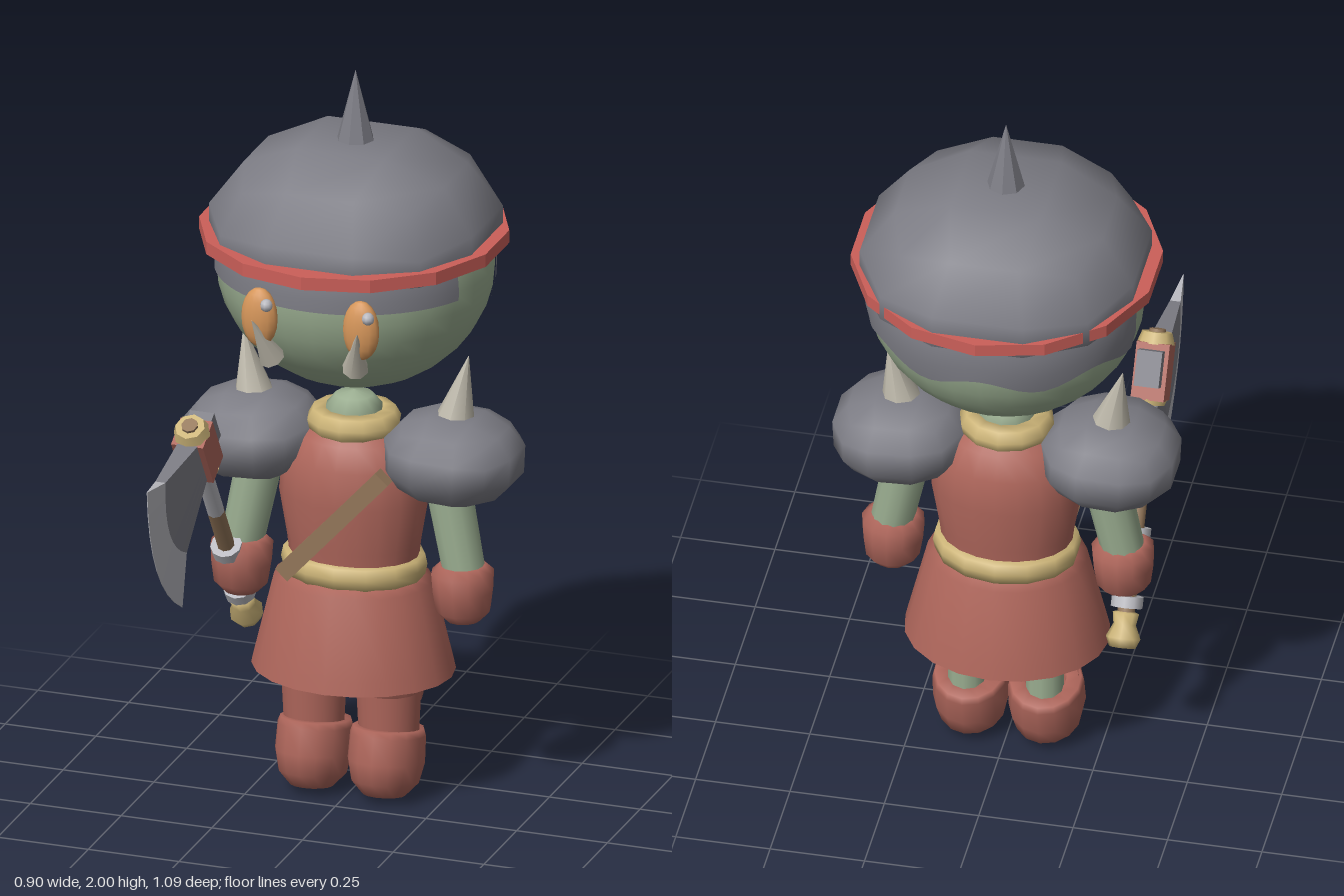
import * as THREE from 'three';

const V = (x, y, z) => new THREE.Vector3(x, y, z);
const P = (list) => list.map(([x, y]) => new THREE.Vector2(x, y));

function paint(name, color, extra = {}) {
  const m = new THREE.MeshStandardMaterial({ color, ...extra });
  m.name = name;
  return m;
}

const Z = -0.145; // depth of the body axis
const HEAD = { c: V(0, 1.475, -0.155), r: V(0.365, 0.335, 0.35) };

export function createModel() {
  const model = new THREE.Group();
  model.name = 'warrior';
  const iron = paint('iron', 0x7d7d85);
  const red = paint('red', 0xcb5f59);
  const leather = paint('leather', 0xae665b, { side: THREE.DoubleSide });
  const skin = paint('skin', 0x9aad90);
  const amber = paint('amber', 0xd6965a);
  const gold = paint('gold', 0xccb478);
  const bone = paint('bone', 0xbdb8aa);
  const tan = paint('tan', 0x937659);
  const silver = paint('silver', 0xb9b9bf);

  function add(name, geo, mat, pos = [0, 0, 0], parent = model) {
    const m = new THREE.Mesh(geo, mat);
    m.name = name;
    m.position.set(...pos);
    parent.add(m);
    return m;
  }
  const lathe = (pts, segs, sz = 1) => new THREE.LatheGeometry(P(pts), segs).scale(1, 1, sz);

  // Tapered rod from point a to point b
  function rod(name, a, b, ra, rb, segs, mat, parent = model) {
    const d = b.clone().sub(a);
    const m = add(name, new THREE.CylinderGeometry(rb, ra, d.length(), segs), mat, [0, 0, 0], parent);
    m.position.copy(a).addScaledVector(d, 0.5);
    m.quaternion.setFromUnitVectors(V(0, 1, 0), d.normalize());
    return m;
  }

  // Ball made from a divided cube, with an optional flat floor
  function cubeBall(rx, ry, rz, floor = -Infinity) {
    const g = new THREE.BoxGeometry(1, 1, 1, 3, 3, 3);
    const p = g.attributes.position, n = g.attributes.normal, v = V(0, 0, 0);
    for (let i = 0; i < p.count; i++) {
      v.fromBufferAttribute(p, i).normalize();
      p.setXYZ(i, v.x * rx, Math.max(v.y * ry, floor), v.z * rz);
      v.set(v.x / rx, v.y / ry, v.z / rz).normalize();
      n.setXYZ(i, v.x, v.y, v.z);
    }
    return g;
  }

  // Head and helmet
  const { c, r } = HEAD;
  add('head', new THREE.SphereGeometry(1, 28, 18).scale(r.x, r.y, r.z), skin, c.toArray());
  add('helmet', cubeBall(0.4, 0.307, 0.4, 0), iron, [0, 1.53, -0.158]);
  add('helmetBrim', lathe([[0.34, 1.54], [0.405, 1.54], [0.405, 1.575], [0.34, 1.575], [0.34, 1.54]], 14).toNonIndexed(),
    red, [0, 0, Z]).geometry.computeVertexNormals();
  const spike = new THREE.ConeGeometry(0.062, 0.24, 8).toNonIndexed();
  spike.computeVertexNormals();
  add('helmetSpike', spike, iron, [0, 1.88, -0.155]);

  // Helmet lining that hangs below the brim, lying on the head
  function lining(name, phi0, phi1, low) {
    const g = new THREE.PlaneGeometry(1, 1, 28, 3);
    const p = g.attributes.position;
    for (let i = 0; i < p.count; i++) {
      const phi = phi0 + (p.getX(i) + 0.5) * (phi1 - phi0);
      const lo = low(phi);
      const y = lo + (p.getY(i) + 0.5) * (1.555 - lo);
      const k = 1.012 * Math.sqrt(1 - ((y - c.y) / r.y) ** 2);
      p.setXYZ(i, c.x + Math.sin(phi) * r.x * k, y, c.z + Math.cos(phi) * r.z * k);
    }
    g.computeVertexNormals();
    add(name, g, iron);
  }
  lining('frontLining', -1.15, 1.15, () => 1.455);
  lining('backLining', 1.78, 2 * Math.PI - 1.78, (a) => 1.4 + 0.02 * Math.cos((a - Math.PI) * 7));

  // Face
  for (const s of [-1, 1]) {
    add('eye', new THREE.SphereGeometry(1, 14, 10).scale(0.05, 0.082, 0.03), amber, [s * 0.14, 1.42, 0.19]);
    add('pupil', new THREE.SphereGeometry(0.017, 8, 6), silver, [s * 0.14 + 0.028, 1.465, 0.215]);
    rod('tusk', V(s * 0.115, 1.3, 0.165), V(s * 0.145, 1.425, 0.235), 0.035, 0.001, 8, bone);
  }

  // Neck, torso and skirt
  add('neck', lathe([[0.075, 0.98], [0.075, 1.07], [0.05, 1.1], [0, 1.112]], 12), skin, [0, 0, Z]);
  add('collar', lathe([[0.1, 0.995], [0.12, 1.01], [0.125, 1.035], [0.11, 1.062], [0.08, 1.067], [0.06, 1.04]], 12, 0.95), gold, [0, 0, Z]);
  add('tunic', lathe([[0.17, 0.63], [0.178, 0.7], [0.2, 0.83], [0.19, 0.93], [0.15, 0.99], [0.1, 1.03]], 20, 0.77), leather, [0, 0, Z]);
  add('belt', lathe([[0.16, 0.605], [0.188, 0.608], [0.194, 0.637], [0.188, 0.665], [0.16, 0.668]], 14, 0.82), gold, [0, 0, Z]);
  add('skirt', lathe([[0.27, 0.345], [0.262, 0.38], [0.21, 0.595], [0.17, 0.612]], 20, 0.85), leather, [0, 0, -0.14]);
  const strap = add('strap', new THREE.BoxGeometry(0.046, 0.41, 0.04), tan, [-0.005, 0.785, -0.003]);
  strap.rotation.z = -0.74;

  // Arms, shoulder guards and legs
  for (const s of [-1, 1]) {
    const pad = add('shoulderGuard', cubeBall(0.192, 0.126, 0.196), iron, [s * 0.275, 0.965, Z]);
    pad.rotation.z = s * -0.05;
    rod('shoulderSpike', V(s * 0.275, 1.05, -0.15), V(s * 0.31, 1.24, -0.16), 0.058, 0.001, 8, bone);
    rod('arm', V(s * 0.25, 0.93, Z), V(s * 0.312, 0.62, -0.135), 0.062, 0.056, 12, skin);
    add('glove', lathe([[0, 0.51], [0.045, 0.517], [0.072, 0.545], [0.08, 0.6], [0.083, 0.65], [0.06, 0.672], [0.045, 0.66]], 12),
      leather, [s * 0.317, 0, -0.13]).rotation.z = s * 0.02;

    add('trouserLeg', lathe([[0.05, 0.27], [0.084, 0.272], [0.09, 0.35], [0.09, 0.45]], 12, 1.12), leather, [s * 0.103, 0, -0.14]);
    add('shinGuard', new THREE.CylinderGeometry(0.087, 0.08, 0.14, 10, 1, true, -Math.PI / 2, Math.PI), leather, [s * 0.103, 0.23, -0.13]);
    add('shin', new THREE.CylinderGeometry(0.05, 0.05, 0.2, 10), skin, [s * 0.103, 0.22, -0.155]);
    const boot = add('boot', lathe([[0, -0.1], [0.055, -0.092], [0.088, -0.055], [0.1, 0], [0.098, 0.07], [0.092, 0.088], [0.055, 0.09], [0.05, 0.07]],
      14, 1.17), leather, [s * 0.1, 0.104, -0.113]);
    boot.rotation.x = -0.2;
  }

  // Axe, built upright and then tilted forward
  const axe = new THREE.Group();
  axe.name = 'axe';
  axe.position.set(-0.323, 0.4, -0.23);
  axe.rotation.x = 0.567;
  model.add(axe);
  const onAxe = (name, geo, mat, x, y, z) => add(name, geo, mat, [x, y, z], axe);
  onAxe('pommel', lathe([[0, 0], [0.035, 0], [0.046, 0.025], [0.03, 0.06], [0.035, 0.09], [0, 0.1]], 8), gold, 0, 0, 0);
  rod('grip', V(0, 0.08, 0), V(0, 0.46, 0), 0.023, 0.023, 8, tan, axe);
  rod('shaft', V(0, 0.46, 0), V(0, 0.66, 0), 0.023, 0.023, 8, silver, axe);
  for (const y of [0.12, 0.3]) onAxe('gripRing', new THREE.CylinderGeometry(0.042, 0.042, 0.03, 10), silver, 0, y, 0);
  onAxe('axeSocket', new THREE.BoxGeometry(0.088, 0.15, 0.088), leather, 0, 0.725, 0);
  onAxe('socketFoot', new THREE.CylinderGeometry(0.046, 0.04, 0.016, 8), gold, 0, 0.645, 0);
  onAxe('axeCap', new THREE.CylinderGeometry(0.04, 0.05, 0.03, 8), gold, 0, 0.812, 0);
  onAxe('capStud', new THREE.CylinderGeometry(0.022, 0.022, 0.01, 8), tan, 0, 0.83, 0);
  onAxe('hammerBlock', new THREE.BoxGeometry(0.066, 0.095, 0.045), iron, 0, 0.735, -0.06);

  // Blade section between two rows, each with half height, reach, bulge and half thickness
  function blade(name, inner, outer, mat) {
    const g = new THREE.BoxGeometry(1, 1, 1, 1, 8, 1);
    const p = g.attributes.position;
    for (let i = 0; i < p.count; i++) {
      const t = p.getY(i) * 2;
      const row = p.getZ(i) > 0 ? outer : inner;
      p.setXYZ(i, Math.sign(p.getX(i)) * row.thick, row.mid + t * row.half, row.reach + row.bulge * (1 - t * t));
    }
    const flat = g.toNonIndexed();
    flat.computeVertexNormals();
    onAxe(name, flat, mat, 0, 0, 0);
  }
  const root = { mid: 0.73, half: 0.07, reach: 0.04, bulge: 0, thick: 0.028 };
  const middle = { mid: 0.737, half: 0.152, reach: 0.228, bulge: 0.055, thick: 0.014 };
  const edge = { mid: 0.702, half: 0.25, reach: 0.309, bulge: 0.07, thick: 0.001 };
  blade('axeBlade', root, middle, iron);
  blade('axeEdge', middle, edge, silver);

  return model;
}
